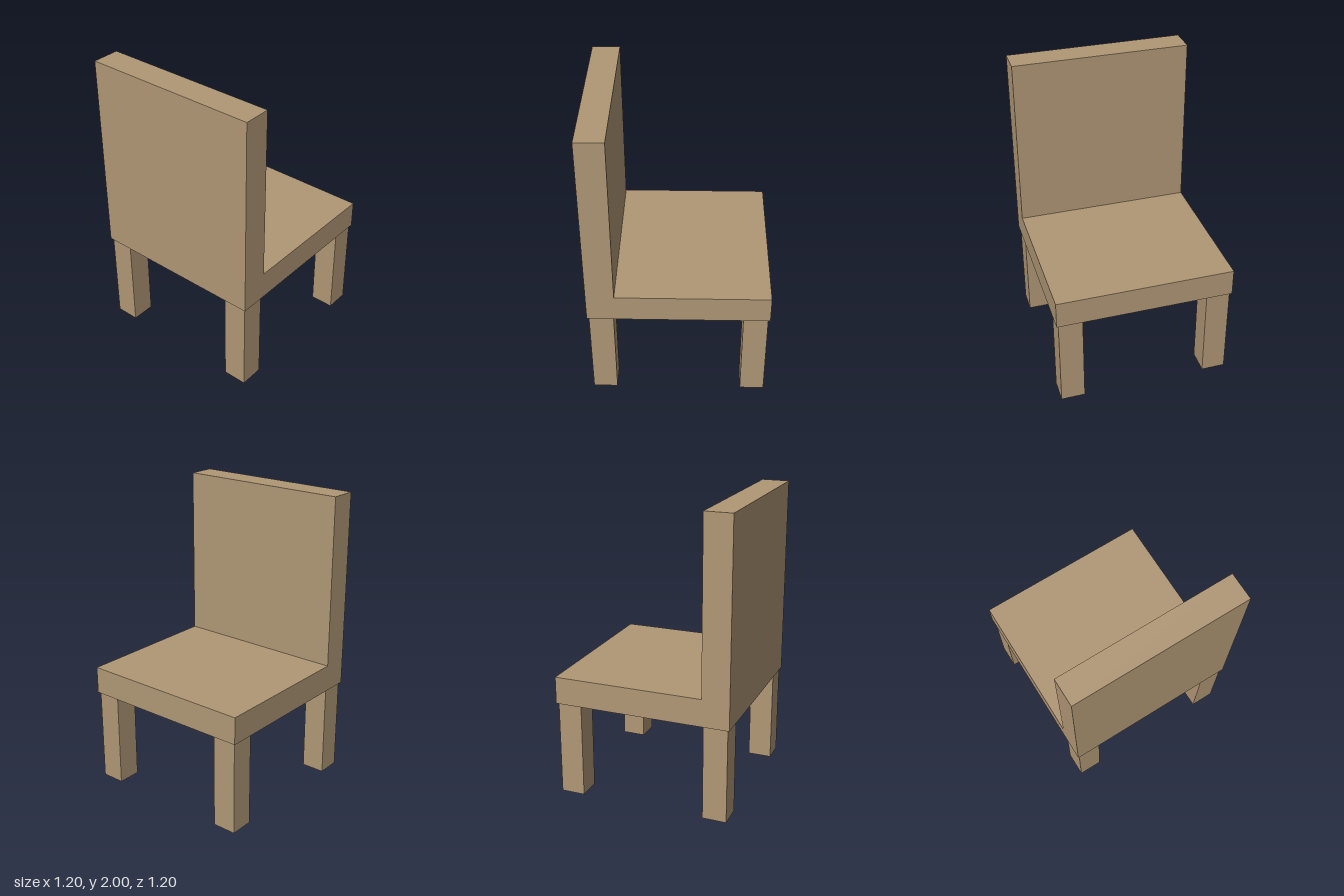
import * as THREE from 'three';

const HALF = 0.6;          // half width and half depth of the seat
const SEAT_BOTTOM = 0.645;
const SEAT_TOP = 0.83;
const BACK_FACE = 0.415;   // z of the backrest face towards the sitter
const LEG_WIDTH = 0.162;
const LEG_OFFSET = 0.506;

export function createModel() {
  const group = new THREE.Group();
  group.name = 'chair';
  const wood = new THREE.MeshStandardMaterial({ color: 0xb09775 });

  // Seat and backrest: one L-shaped side profile (z, y) extruded across the width
  const profile = new THREE.Shape([
    [-HALF, SEAT_BOTTOM], [HALF, SEAT_BOTTOM], [HALF, 2],
    [BACK_FACE, 2], [BACK_FACE, SEAT_TOP], [-HALF, SEAT_TOP],
  ].map(([z, y]) => new THREE.Vector2(z, y)));
  const bodyGeometry = new THREE.ExtrudeGeometry(profile, { depth: 2 * HALF, bevelEnabled: false });
  bodyGeometry.translate(0, 0, -HALF).rotateY(-Math.PI / 2);
  const body = new THREE.Mesh(bodyGeometry, wood);
  body.name = 'seatAndBackrest';
  group.add(body);

  // Four square legs, set slightly in from the seat edges
  const legGeometry = new THREE.BoxGeometry(LEG_WIDTH, SEAT_BOTTOM, LEG_WIDTH);
  for (const [zName, z] of [['front', 1], ['back', -1]]) {
    for (const [xName, x] of [['Left', 1], ['Right', -1]]) {
      const leg = new THREE.Mesh(legGeometry, wood);
      leg.name = `${zName}${xName}Leg`;
      leg.position.set(x * LEG_OFFSET, SEAT_BOTTOM / 2, z * LEG_OFFSET);
      group.add(leg);
    }
  }
  return group;
}
